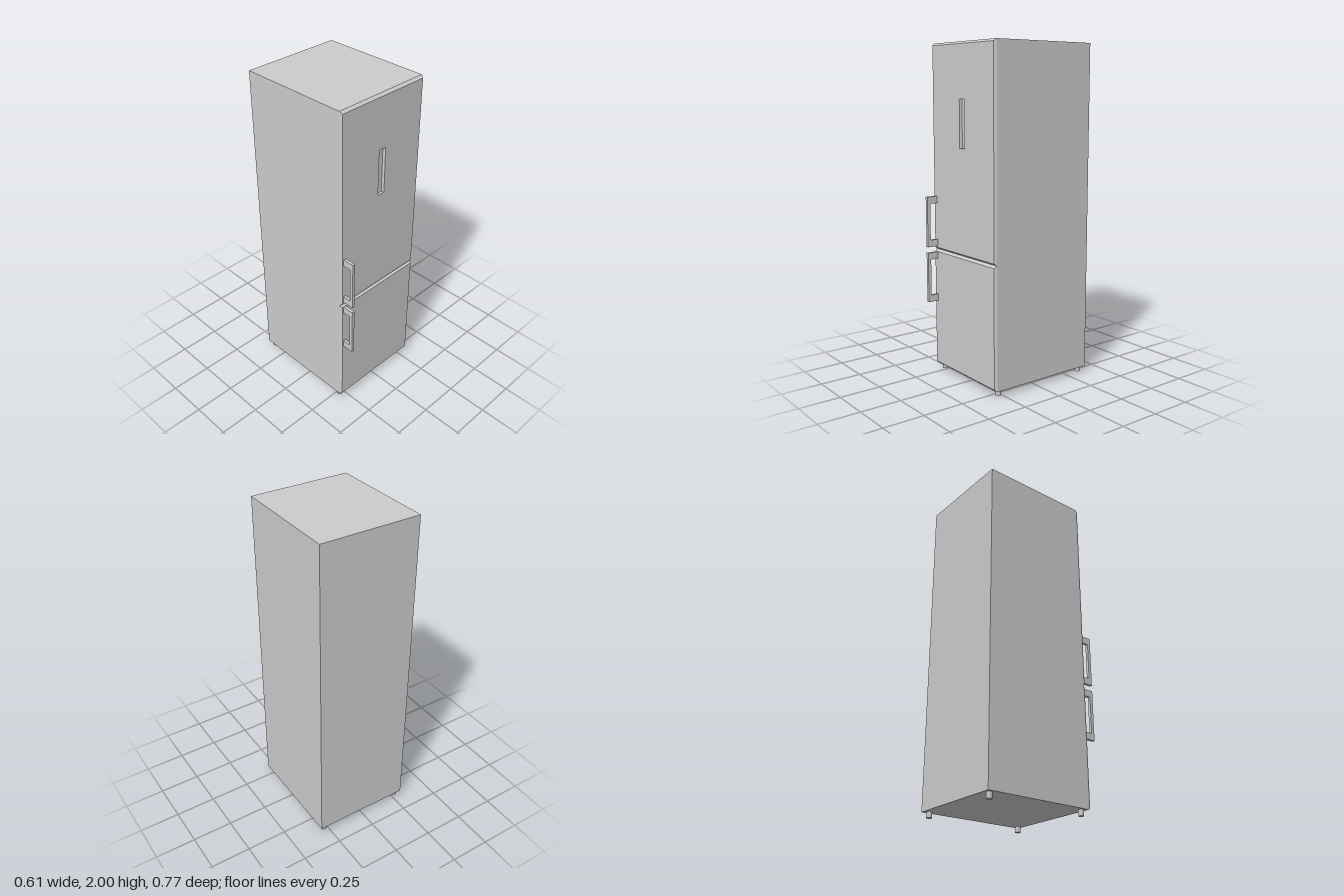
import * as THREE from 'three';

const mat = new THREE.MeshStandardMaterial({ color: 0xcccccc });
const W = 0.307, BACK = -0.385, SEAM = 0.297, FRONT = 0.313;

function add(parent, name, geometry, x = 0, y = 0, z = 0) {
  const mesh = new THREE.Mesh(geometry, mat);
  mesh.name = name;
  mesh.position.set(x, y, z);
  parent.add(mesh);
  return mesh;
}

function rect(Kind, x0, x1, y0, y1) {
  return new Kind([[x0, y0], [x1, y0], [x1, y1], [x0, y1]].map(p => new THREE.Vector2(...p)));
}

// Door panel chamfered on all sides, with an optional recess
function doorGeometry(y0, y1, recess) {
  const inX = 0.008, inY = 0.013, slope = 0.004;
  const shape = rect(THREE.Shape, -W + inX, W - inX, y0 + inY, y1 - inY);
  if (recess) shape.holes.push(rect(THREE.Path, ...recess));
  const g = new THREE.ExtrudeGeometry(shape, { depth: FRONT - SEAM, bevelEnabled: false });
  const p = g.attributes.position;
  const mid = (y0 + y1) / 2;
  for (let i = 0; i < p.count; i++) {
    if (p.getZ(i) > 0.001) continue;
    const x = p.getX(i), y = p.getY(i);
    if (Math.abs(x) > 0.2) {
      // outer rim flares to the cabinet size at the rear
      p.setXY(i, Math.sign(x) * W, y > mid ? y1 : y0);
    } else {
      // recess side walls lean inwards
      p.setX(i, x - Math.sign(x) * slope);
    }
  }
  g.computeVertexNormals();
  return g;
}

// Bracket handle: C-shaped side profile extruded across its width
function handleGeometry(y0, y1) {
  const z0 = FRONT - 0.002, z1 = 0.383, bar = 0.02, post = 0.042, width = 0.018;
  const shape = new THREE.Shape([
    [z0, y0], [z1, y0], [z1, y1], [z0, y1],
    [z0, y1 - post], [z1 - bar, y1 - post], [z1 - bar, y0 + post], [z0, y0 + post],
  ].map(p => new THREE.Vector2(...p)));
  return new THREE.ExtrudeGeometry(shape, { depth: width, bevelEnabled: false })
    .rotateY(-Math.PI / 2);
}

export function createModel() {
  const model = new THREE.Group();
  model.name = 'refrigerator';

  // Cabinet
  const y0 = 0.035, y1 = 2, split = 0.768;
  add(model, 'cabinet', new THREE.BoxGeometry(W * 2, y1 - y0, SEAM - BACK),
    0, (y0 + y1) / 2, (SEAM + BACK) / 2);

  // Doors
  add(model, 'upperDoor', doorGeometry(split, y1, [-0.025, 0.023, 1.4, 1.68]), 0, 0, SEAM);
  add(model, 'lowerDoor', doorGeometry(y0, split), 0, 0, SEAM);

  // Handles
  add(model, 'upperHandle', handleGeometry(0.79, 1.097), -0.271);
  add(model, 'lowerHandle', handleGeometry(0.447, 0.754), -0.271);

  // Feet
  const foot = new THREE.CylinderGeometry(0.016, 0.016, 0.04, 20);
  for (const x of [-0.277, 0.273])
    for (const z of [-0.355, 0.266]) add(model, 'foot', foot, x, 0.02, z);

  return model;
}
